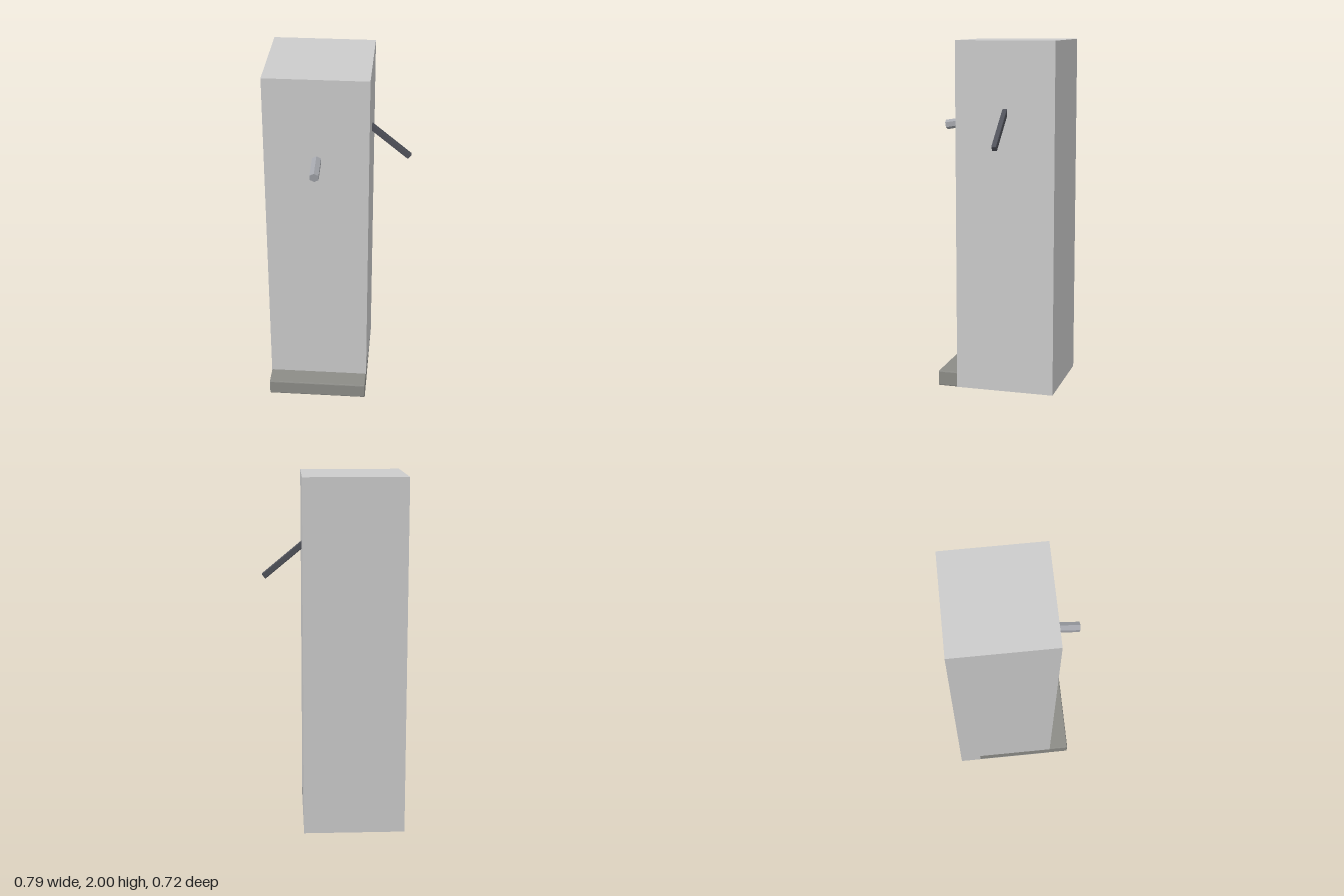
import * as THREE from 'three';
import { RoundedBoxGeometry } from 'three/addons/geometries/RoundedBoxGeometry.js';

const mat = (color) => new THREE.MeshStandardMaterial({ color, flatShading: true });

export function createModel() {
  const group = new THREE.Group();
  const add = (name, geometry, color, x, y, z) => {
    const mesh = new THREE.Mesh(geometry, mat(color));
    mesh.name = name;
    mesh.position.set(x, y, z);
    group.add(mesh);
    return mesh;
  };

  // Tall square column
  add('body', new THREE.BoxGeometry(0.57, 2, 0.57), 0xcccccc, -0.115, 1, -0.075);

  // Bevelled tray, slid under the front of the column
  add('baseTray', new RoundedBoxGeometry(0.57, 0.088, 0.57, 1, 0.006), 0x8c8c87, -0.115, 0.044, 0.04);

  // Hexagonal spout, a corner upwards, tilted down to the front
  const spoutGeometry = new THREE.CylinderGeometry(0.028, 0.028, 0.24, 6);
  spoutGeometry.rotateX(Math.PI / 2);
  spoutGeometry.translate(0, 0, -0.12);
  add('spout', spoutGeometry, 0xa6a8ae, -0.114, 1.504, 0.355).rotation.x = 0.175;

  // Bevelled lever on the left side, sloping down and out
  const leverGeometry = new RoundedBoxGeometry(0.36, 0.034, 0.028, 1, 0.004);
  leverGeometry.translate(-0.18, 0, 0);
  add('lever', leverGeometry, 0x50525a, 0.384, 1.428, -0.076).rotation.z = -0.69;

  return group;
}
